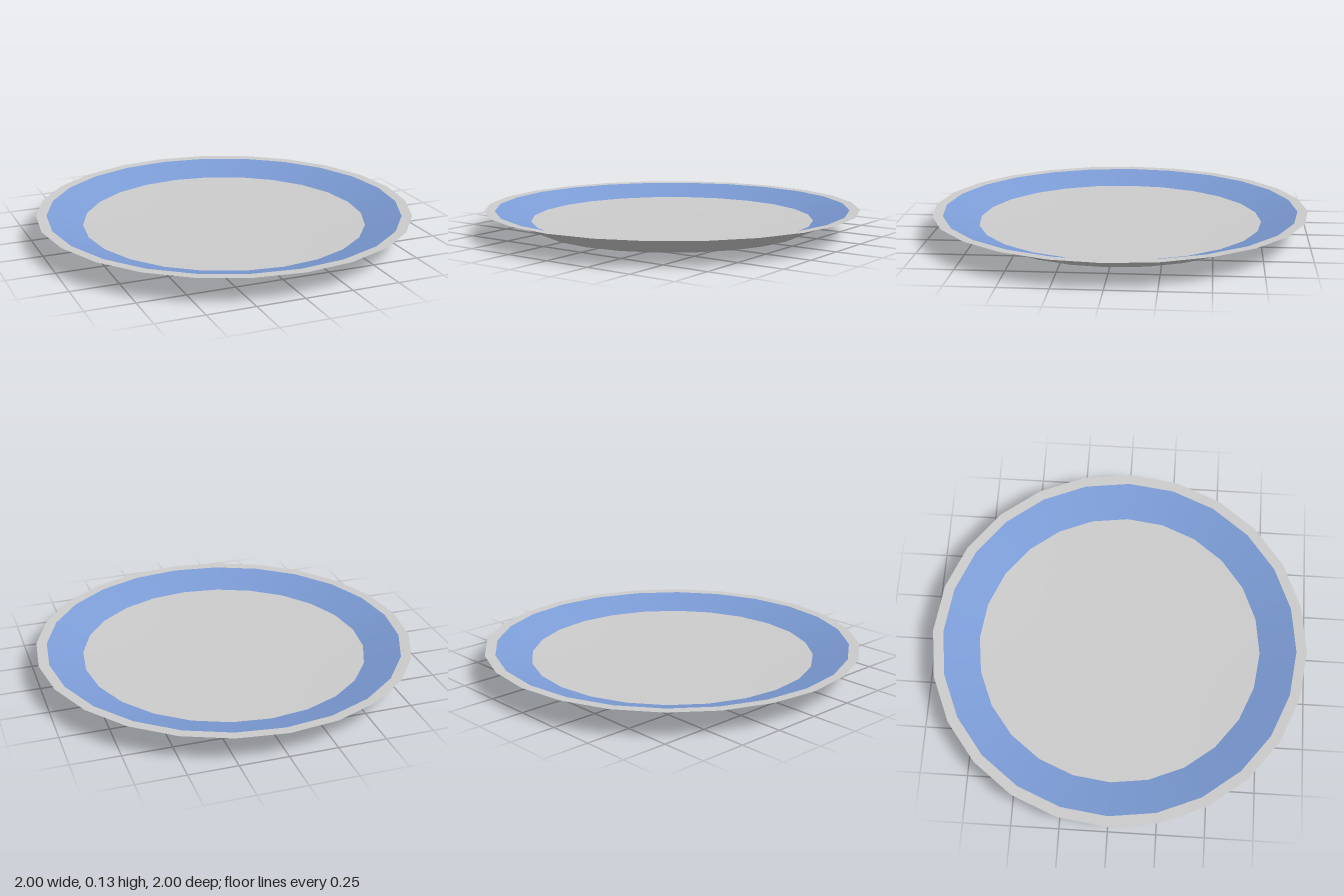
import * as THREE from 'three';

const SIDES = 24;

// Turned surface from [radius, height] pairs, running from the underside outward, then back in over the top
function turned(name, profile, material) {
  const points = profile.map(([r, y]) => new THREE.Vector2(r, y));
  const mesh = new THREE.Mesh(new THREE.LatheGeometry(points, SIDES), material);
  mesh.name = name;
  return mesh;
}

export function createModel() {
  const plate = new THREE.Group();
  plate.name = 'plate';
  const grey = new THREE.MeshStandardMaterial({ color: 0xcccccc });
  const blue = new THREE.MeshStandardMaterial({ color: 0x7c9cd6 });

  plate.add(
    // Shallow dished base with a flared outer wall
    turned('underside', [[0, 0], [0.1, 0.003], [0.715, 0.02], [0.92, 0.11], [1, 0.13]], grey),
    // Flat lip around the edge
    turned('rim', [[1, 0.13], [0.945, 0.128]], grey),
    // Coloured sloping inner wall
    turned('band', [[0.945, 0.128], [0.755, 0.068]], blue),
    // Slightly sunken eating surface
    turned('floor', [[0.755, 0.068], [0.4, 0.057], [0, 0.05]], grey)
  );
  return plate;
}
